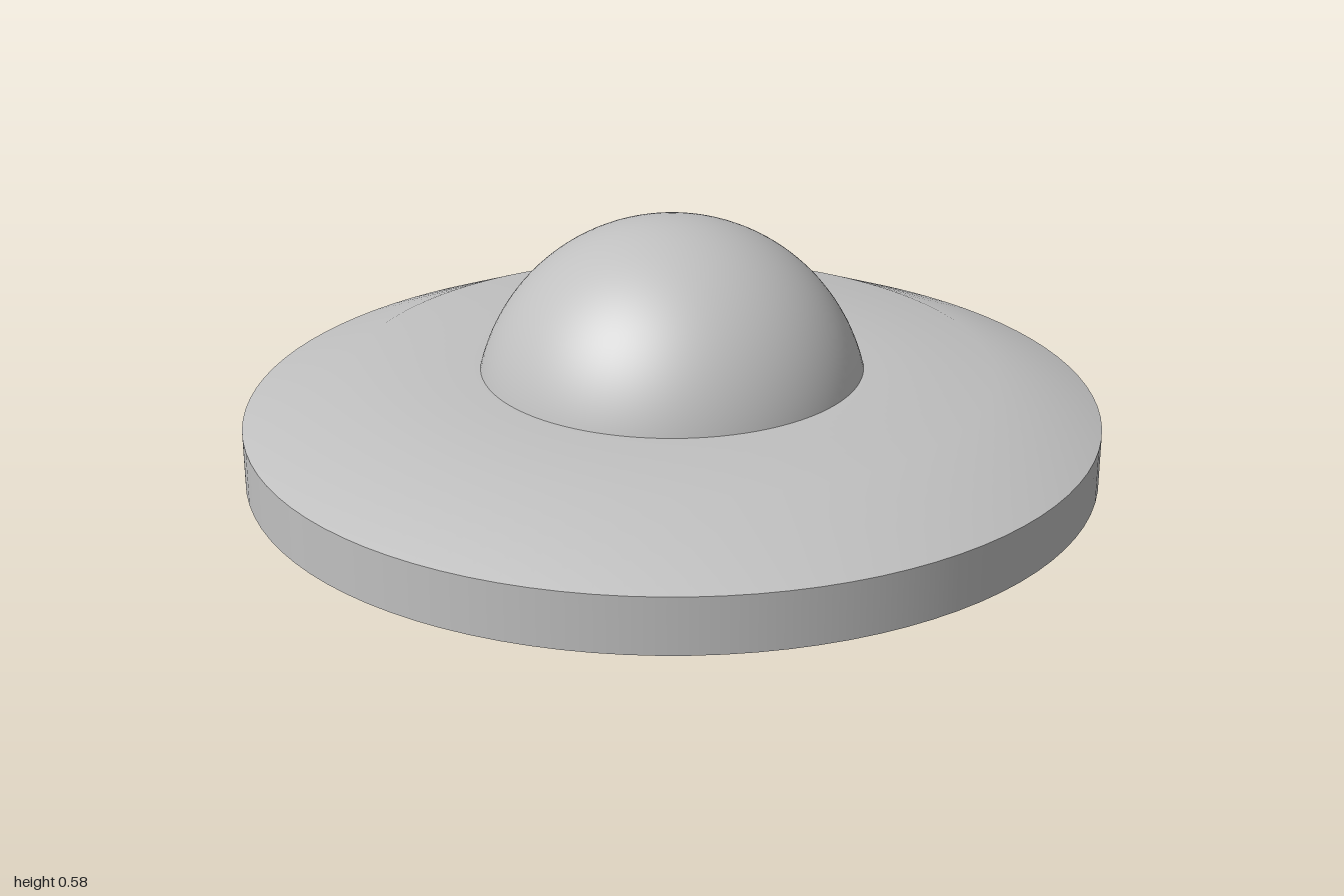
import * as THREE from 'three';

const SEGMENTS = 96;

export function createModel() {
  const model = new THREE.Group();
  const grey = new THREE.MeshStandardMaterial({ color: 0xc0c0c0 });
  grey.name = 'plain grey';

  const add = (name, geometry) => {
    const mesh = new THREE.Mesh(geometry, grey);
    mesh.name = name;
    model.add(mesh);
    return mesh;
  };
  const lathe = (points) =>
    new THREE.LatheGeometry(points.map(([r, y]) => new THREE.Vector2(r, y)), SEGMENTS);

  const rimY = 0.13, deckY = 0.23, topY = 0.577, domeR = 0.448;

  // Flat underside
  add('underside', new THREE.CircleGeometry(1, SEGMENTS).rotateX(Math.PI / 2));

  // Upright outer rim
  add('rim', lathe([[1, 0], [1, rimY]]));

  // Sloping shoulder blending into the flat deck
  add('deck', lathe([[1, rimY], [0.75, deckY], [domeR - 0.02, deckY]]));

  // Central dome: a spherical cap sitting on the deck
  const h = topY - deckY;
  const radius = (domeR * domeR + h * h) / (2 * h);
  const capAngle = Math.acos((radius - h) / radius);
  const dome = add('dome',
    new THREE.SphereGeometry(radius, SEGMENTS, 32, 0, Math.PI * 2, 0, capAngle));
  dome.position.y = topY - radius;

  return model;
}
